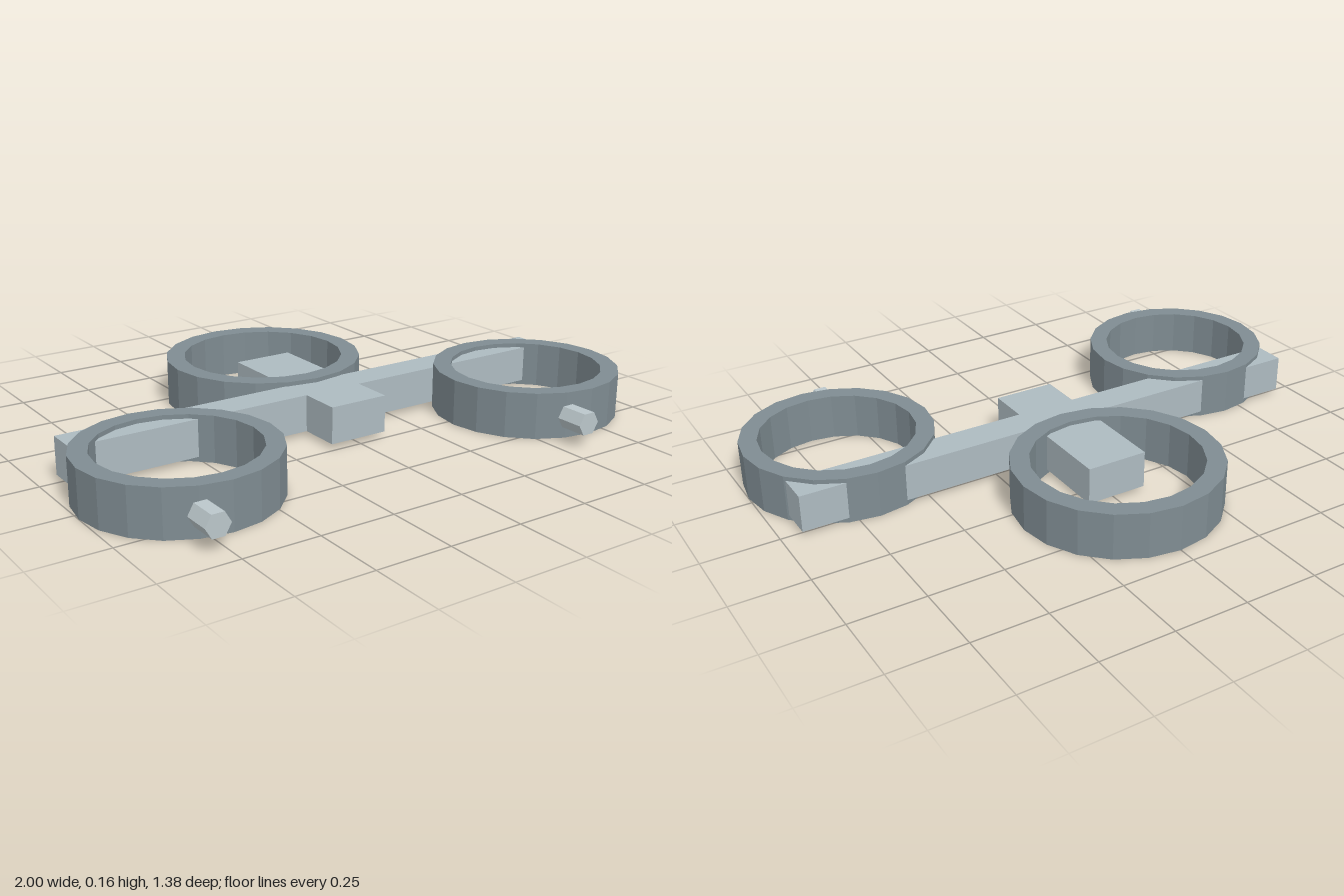
import * as THREE from 'three';

const paint = (color) => new THREE.MeshStandardMaterial({ color, flatShading: true });
const barPaint = paint(0xadbac0);
const ringPaint = paint(0x7f8c92);
const pegPaint = paint(0xbac6ca);

export function createModel() {
  const group = new THREE.Group();

  function add(name, geometry, material, x, y, z) {
    const mesh = new THREE.Mesh(geometry, material);
    mesh.name = name;
    mesh.position.set(x, y, z);
    group.add(mesh);
  }

  // Twenty-sided hoop with a rectangular section, standing on y = 0
  function hoop(outer, inner, height) {
    const section = [[outer, 0], [outer, height], [inner, height], [inner, 0], [outer, 0]];
    return new THREE.LatheGeometry(section.map(([r, y]) => new THREE.Vector2(r, y)), 20);
  }

  // Flat cross: long bar and the stem running into the back ring
  add('crossBar', new THREE.BoxGeometry(1.87, 0.125, 0.114), barPaint, 0, 0.079, 0.035);
  add('centreStem', new THREE.BoxGeometry(0.21, 0.125, 0.582), barPaint, 0, 0.079, -0.053);

  // Large ring at the back
  add('backRing', hoop(0.344, 0.28, 0.156), ringPaint, 0, 0, -0.345);

  // Smaller ring on each side, with a hexagonal peg offset towards the right
  for (const [side, s] of [['left', 1], ['right', -1]]) {
    add(side + 'Ring', hoop(0.318, 0.258, 0.156), ringPaint, s * 0.682, 0, 0.28);
    const peg = new THREE.CylinderGeometry(0.041, 0.041, 0.095, 6);
    peg.rotateY(Math.PI / 6).rotateX(Math.PI / 2);
    add(side + 'Peg', peg, pegPaint, s * 0.682 - 0.1, 0.08, 0.639);
  }

  return group;
}
